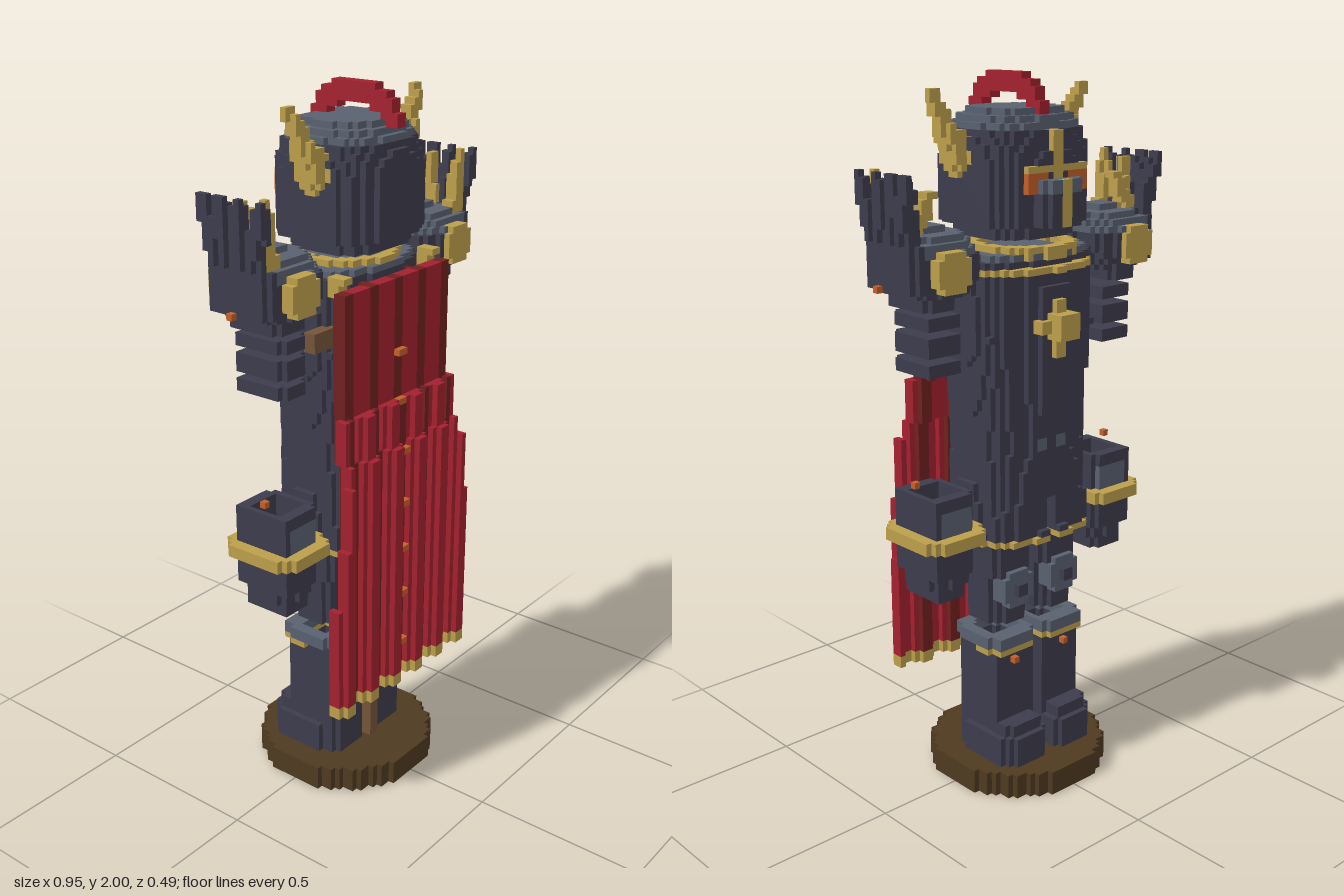
import * as THREE from 'three';

const U = 2 / 114; // edge of one block
const COLORS = {
  darkArmor: 0x3d3c4d, steel: 0x596170, gold: 0xbd9f4b, red: 0xa3212f,
  darkRed: 0x70201f, darkWood: 0x4e3a20, wood: 0x74553a, ember: 0xc4602a,
};

// Rules used to fill blocks
const within = (v, a, b) => v > a && v < b;
const box = (x, y, z, x0, x1, y0, y1, z0, z1) => within(x, x0, x1) && within(y, y0, y1) && within(z, z0, z1);
const oval = (a, b, ca, cb, ra, rb, p = 2) => Math.abs((a - ca) / ra) ** p + Math.abs((b - cb) / rb) ** p < 1;
const lerp = THREE.MathUtils.lerp;
const limb = (a, b, r0, r1) => {
  const A = new THREE.Vector3(...a), D = new THREE.Vector3(...b).sub(A), P = new THREE.Vector3();
  return (x, y, z) => {
    P.set(x, y, z).sub(A);
    const t = THREE.MathUtils.clamp(P.dot(D) / D.lengthSq(), 0, 1);
    return P.addScaledVector(D, -t).length() < lerp(r0, r1, t);
  };
};

export function createModel() {
  const materials = {};
  for (const [name, color] of Object.entries(COLORS)) {
    materials[name] = new THREE.MeshStandardMaterial({ color });
    materials[name].name = name;
  }
  const cells = new Map();
  const key = (i, j, k) => ((i + 64) * 128 + j + 2) * 128 + k + 64;

  // Fill blocks in a height range; rule(|x|, y, z) gives a colour name, so all is mirrored in x
  function part(name, y0, y1, rule) {
    for (let j = Math.max(0, Math.floor(y0 / U)); j < Math.min(114, Math.ceil(y1 / U)); j++)
      for (let i = -28; i < 28; i++)
        for (let k = -15; k < 15; k++) {
          const y = (j + 0.5) * U;
          if (y < y0 || y > y1) continue;
          const color = rule(Math.abs(i + 0.5) * U, y, (k + 0.5) * U);
          if (color) cells.set(key(i, j, k), { at: [i, j, k], name, color });
        }
  }

  // Display stand
  part('standBase', 0, 0.07, (x, y, z) => oval(x, z, 0, 0, 0.25, 0.25) && 'darkWood');
  part('standPole', 0.07, 1.4, (x, y, z) => x < 0.018 && within(z, 0.065, 0.105) && 'wood');
  part('standCrossbar', 1.345, 1.395, (x, y, z) => x < 0.27 && within(z, 0.065, 0.105) && 'wood');

  // Boots: hollow shafts, broad toes and trimmed cuffs
  part('boots', 0.07, 0.46, (x, y, z) => {
    const shaft = oval(x, z, 0.09, -0.005, 0.075, 0.085, 6);
    const hollow = y > 0.25 && oval(x, z, 0.09, -0.005, 0.05, 0.055, 4);
    const foot = y < 0.19 && oval(x, z, 0.095, -0.045, y < 0.16 ? 0.08 : 0.065, y < 0.16 ? 0.11 : 0.1, 4);
    const cuff = y > 0.4 && oval(x, z, 0.09, -0.005, 0.08, 0.1, 4);
    if (hollow) return null;
    if (cuff && y > 0.425) return 'steel';
    if (cuff && z < -0.02) return 'gold';
    return (shaft || foot) && 'darkArmor';
  });

  // Legs with round knee plates
  part('legs', 0.5, 0.8, (x, y, z) =>
    oval(x, z, 0.088, -0.01, y < 0.64 ? 0.07 : 0.078, y < 0.64 ? 0.072 : 0.082, 3) && 'darkArmor');
  part('kneePlates', 0.53, 0.67, (x, y, z) => {
    const hub = oval(x, y, 0.088, 0.6, 0.022, 0.022);
    return within(z, hub ? -0.12 : -0.105, -0.06) && oval(x, y, 0.088, 0.6, 0.06, 0.056) && (hub ? 'darkArmor' : 'steel');
  });

  // Trunk: flared skirt, narrow waist, broad chest
  const halfWidths = [[0.73, 0.19], [0.9, 0.185], [1.03, 0.175], [1.2, 0.195], [1.32, 0.215], [1.5, 0.205]];
  const halfWidth = (y) => {
    const n = Math.max(1, halfWidths.findIndex((p) => p[0] >= y));
    const [a, b] = [halfWidths[n - 1], halfWidths[n]];
    return lerp(a[1], b[1], (y - a[0]) / (b[0] - a[0]));
  };
  part('skirtAndBreastplate', 0.735, 1.49, (x, y, z) => {
    const depth = y < 1 ? lerp(0.152, 0.135, (y - 0.73) / 0.27) : 0.135;
    if (y < 0.86 && x < 0.018 && z < -0.1) return null;
    if (!oval(x, z, 0, 0, halfWidth(y), depth, 3)) return null;
    return y < 0.755 ? 'gold' : 'darkArmor';
  });
  part('breastRidge', 1.1, 1.45, (x, y, z) => x < 0.06 && within(z, -0.15, -0.11) && 'darkArmor');
  part('waistPlates', 1.0, 1.04, (x, y, z) => within(x, 0.02, 0.055) && within(z, -0.14, -0.12) && 'steel');
  part('chestCross', 1.26, 1.43, (x, y, z) => {
    const core = x < 0.035 && Math.abs(y - 1.345) < 0.036;
    const arms = (x < 0.02 && Math.abs(y - 1.345) < 0.08) || (x < 0.075 && Math.abs(y - 1.345) < 0.02);
    return within(z, core ? -0.21 : -0.18, -0.13) && (core || arms) && 'gold';
  });

  // Neck guard and its gilded rims
  part('neckGuard', 1.485, 1.56, (x, y, z) => {
    if (y < 1.515 && z < 0 && oval(x, z, 0, 0, 0.222, 0.167) && !oval(x, z, 0, 0, 0.185, 0.13)) return 'gold';
    if (y < 1.545 && oval(x, z, 0, 0, y < 1.525 ? 0.225 : 0.195, 0.135, 2.5)) return y > 1.525 ? 'steel' : 'darkArmor';
    return y > 1.53 && oval(x, z, 0, -0.01, 0.145, 0.145) && !oval(x, z, 0, -0.01, 0.115, 0.11) && 'gold';
  });

  // Helmet with steel dome, snout and gilded cross
  part('helmet', 1.585, 1.915, (x, y, z) => {
    const r = y < 1.62 ? 0.145 : y < 1.77 ? 0.18 : 0.075 + 0.105 * Math.sqrt(Math.max(0, 1 - ((y - 1.77) / 0.145) ** 2));
    if (!oval(x, z, 0, 0.012, r, r * 0.92, 2.8)) return null;
    return y > 1.865 ? 'steel' : 'darkArmor';
  });
  part('helmetSnout', 1.62, 1.73, (x, y, z) =>
    within(z, -0.19, -0.13) && x < 0.075 - (z < -0.17 ? 0.02 : 0) && (y > 1.71 ? 'steel' : 'darkArmor'));
  part('eyeSlits', 1.71, 1.752, (x, y, z) => within(x, 0.03, 0.11) && within(z, -0.16, -0.12) && 'ember');
  part('helmetCross', 1.62, 1.86, (x, y, z) => {
    const upright = x < 0.02 && (y < 1.73 ? within(z, -0.195, -0.17) : within(z, -0.165, -0.12));
    const bar = x < 0.105 && within(y, 1.752, 1.777) && within(z, -0.165, -0.12);
    return (upright || bar) && 'gold';
  });
  part('helmetCrest', 1.89, 2, (x, y, z) =>
    x < 0.018 && oval(z, y, 0.035, 1.88, 0.147, 0.125) && !oval(z, y, 0.035, 1.88, 0.105, 0.068) && 'red');
  const horn = [
    limb([0.165, 1.785, 0.035], [0.225, 1.875, 0.035], 0.047, 0.025),
    limb([0.225, 1.875, 0.035], [0.268, 1.96, 0.03], 0.024, 0.012),
  ];
  part('helmetHorns', 1.74, 1.97, (x, y, z) => x > 0.14 && horn.some((f) => f(x, y, z)) && 'gold');

  // Shoulder guards with discs and upturned claws
  part('shoulderGuards', 1.46, 1.63, (x, y, z) => {
    const dome = Math.abs((x - 0.315) / 0.115) ** 2.5 + Math.abs((y - 1.53) / 0.095) ** 2.5 + Math.abs(z / 0.122) ** 2.5 < 1;
    const outer = box(x, y, z, 0.36, 0.44, 1.475, 1.6, -0.1, 0.1) && oval(x, z, 0.36, 0, 0.08, 0.115, 3);
    return (dome || outer) && (y > 1.57 && x < 0.4 ? 'steel' : 'darkArmor');
  });
  part('shoulderDiscs', 1.46, 1.59, (x, y, z) =>
    within(Math.abs(z), 0.09, 0.135) && oval(x, y, 0.332, 1.525, 0.056, 0.052) && 'gold');
  const darkClaws = [[-0.05, -0.09], [-0.02, -0.035], [0.02, 0.025], [0.05, 0.095]].map(([a, b]) =>
    limb([0.415, 1.57, a], [0.448, 1.76, b], 0.03, 0.016));
  const goldClaws = [
    limb([0.39, 1.57, 0.065], [0.415, 1.765, 0.08], 0.026, 0.014),
    limb([0.4, 1.57, -0.01], [0.4, 1.75, -0.01], 0.026, 0.014),
    limb([0.4, 1.6, -0.03], [0.355, 1.67, -0.035], 0.024, 0.022),
    limb([0.355, 1.67, -0.035], [0.34, 1.705, -0.035], 0.024, 0.02),
  ];
  part('shoulderClaws', 1.56, 1.78, (x, y, z) =>
    goldClaws.some((f) => f(x, y, z)) ? 'gold' : darkClaws.some((f) => f(x, y, z)) && 'darkArmor');

  // Four loose plates below each shoulder
  for (let n = 0; n < 4; n++) {
    const y0 = 1.25 + n * 0.057, top = n === 3;
    part('armPlates', y0 - 0.004, y0 + 0.036, (x, y, z) =>
      oval(x, z, top ? 0.33 : 0.318, 0.005, 0.055, top ? 0.088 : 0.08, 4) && 'darkArmor');
  }

  // Hanging gauntlets: open cups with a gilded band
  part('gauntlets', 0.615, 0.905, (x, y, z) => {
    const s = y < 0.65 ? 0.75 : y < 0.68 ? 0.88 : 1;
    if (y > 0.72 && oval(x, z, 0.3, 0, 0.05, 0.06, 4)) return null;
    if (within(y, 0.77, 0.812) && oval(x, z, 0.3, 0, 0.105, 0.125, 3)) return 'gold';
    if (!oval(x, z, 0.3, 0, 0.075 * s, 0.09 * s, 4)) return null;
    return within(y, 0.812, 0.88) && Math.abs(z) > 0.07 && x < 0.352 ? 'steel' : 'darkArmor';
  });

  // Pleated cape, gilded hem and shoulder clasps
  part('cape', 0.318, 1.515, (x, y, z) => {
    const fold = Math.cos((x - 0.05) * Math.PI * 2 / 0.105);
    const [mid, amp] = y > 1.17 ? [0.155, 0.004] : y > 1.05 ? [0.175, 0.012] : [0.192, 0.02];
    const width = y > 1.17 ? 0.23 : y > 1.05 ? 0.245 : lerp(0.25, 0.294, Math.min(1, (1.05 - y) / 0.45));
    if (x > width || Math.abs(z - mid - amp * fold) > 0.02) return null;
    return y < 0.354 ? 'gold' : fold < -0.25 ? 'darkRed' : 'red';
  });
  part('capeClasps', 1.5, 1.54, (x, y, z) =>
    within(x, 0.175, 0.215) && within(z, 0.11, y > 1.52 ? 0.165 : 0.14) && 'gold');

  // Small glowing studs
  const stud = (x0, y0, z0) => part('glowingStuds', y0 - U / 2, y0 + U / 2, (x, y, z) =>
    Math.abs(x - x0) <= U / 2 && Math.abs(z - z0) <= U / 2 && 'ember');
  for (let n = 0; n < 7; n++) stud(0.009, 0.432 + n * 0.147, n > 4 ? 0.184 : 0.2015);
  stud(0.465, 1.483, 0.009);
  stud(0.36, 0.93, 0.009);
  stud(0.09, 0.385, -0.1);

  // Turn the outer block faces into one mesh per part and colour
  const groups = new Map();
  const corners = [[0, 0], [1, 0], [1, 1], [0, 0], [1, 1], [0, 1]];
  for (const { at, name, color } of cells.values()) {
    if (!groups.has(name)) groups.set(name, {});
    const out = (groups.get(name)[color] ??= { pos: [], nor: [] });
    for (let d = 0; d < 3; d++)
      for (const s of [1, -1]) {
        const next = [...at];
        next[d] += s;
        if (cells.has(key(...next))) continue;
        for (const [a, b] of corners) {
          const p = [...at], n = [0, 0, 0];
          p[d] += s > 0 ? 1 : 0;
          p[(d + 1) % 3] += s > 0 ? a : b;
          p[(d + 2) % 3] += s > 0 ? b : a;
          n[d] = s;
          out.pos.push(p[0] * U, p[1] * U, p[2] * U);
          out.nor.push(...n);
        }
      }
  }
  const model = new THREE.Group();
  model.name = 'armorOnStand';
  for (const [name, byColor] of groups) {
    const group = new THREE.Group();
    group.name = name;
    for (const [color, { pos, nor }] of Object.entries(byColor)) {
      if (!pos.length) continue;
      const geometry = new THREE.BufferGeometry();
      geometry.setAttribute('position', new THREE.Float32BufferAttribute(pos, 3));
      geometry.setAttribute('normal', new THREE.Float32BufferAttribute(nor, 3));
      const mesh = new THREE.Mesh(geometry, materials[color]);
      mesh.name = `${name} ${color}`;
      group.add(mesh);
    }
    model.add(group);
  }
  return model;
}
